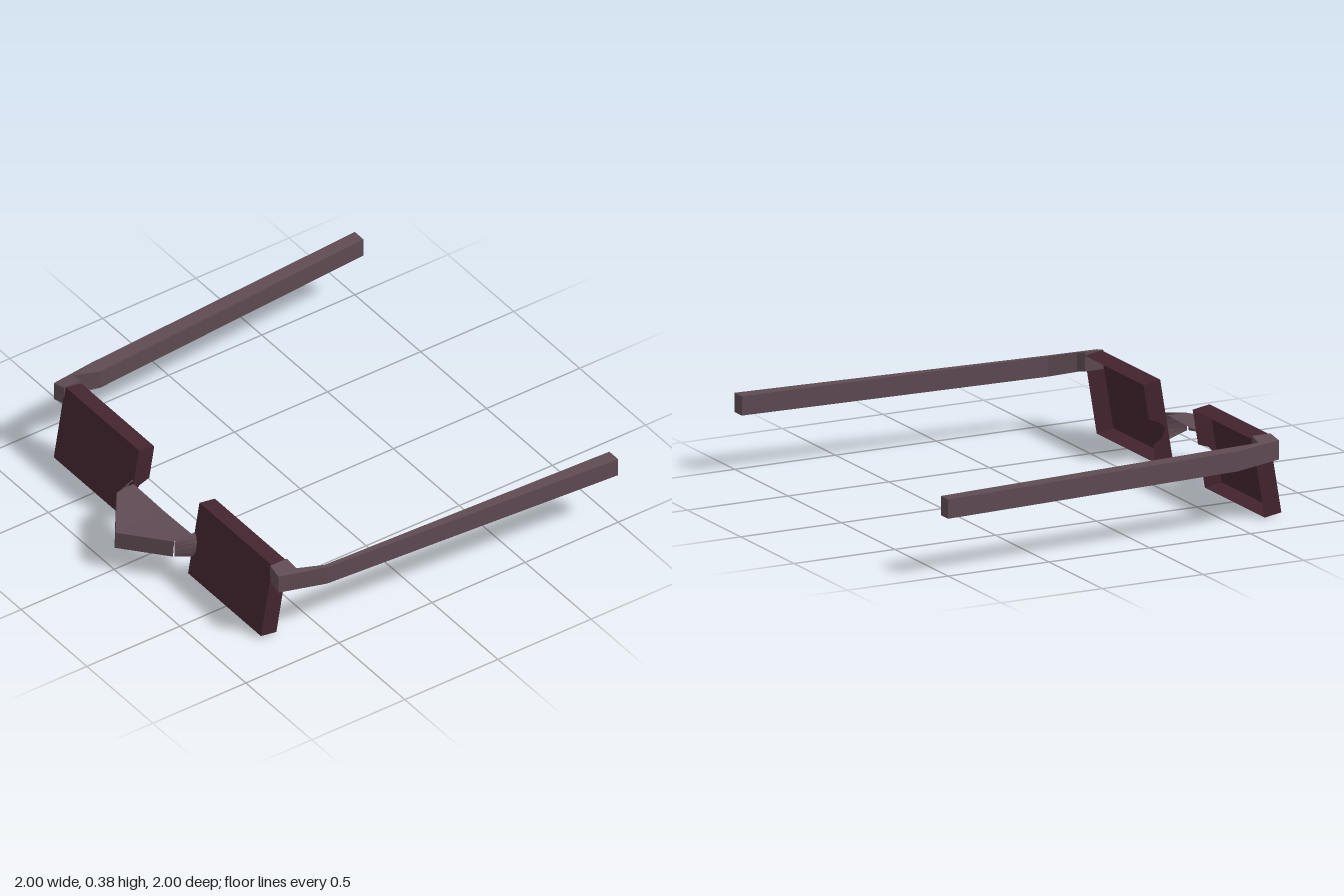
import * as THREE from 'three';

const lensMat = new THREE.MeshStandardMaterial({ color: 0x44242f, side: THREE.DoubleSide });
lensMat.name = 'dark plum';
const frameMat = new THREE.MeshStandardMaterial({ color: 0x5f4b53, side: THREE.DoubleSide });
frameMat.name = 'grey mauve';

// Flat-shaded skin between successive cross-sections, optionally closed and capped
function loft(rings, { closed = false, caps = false, flip = false } = {}) {
  const pos = [];
  const tri = (a, b, c) => pos.push(...a, ...(flip ? c : b), ...(flip ? b : c));
  const n = rings[0].length;
  for (let i = 0; i < rings.length - 1; i++) {
    for (let j = 0; j < (closed ? n : n - 1); j++) {
      const k = (j + 1) % n;
      const [a, b, c, d] = [rings[i][j], rings[i][k], rings[i + 1][k], rings[i + 1][j]];
      tri(a, b, c);
      tri(a, c, d);
    }
  }
  if (caps) {
    const first = rings[0], last = rings[rings.length - 1];
    for (let j = 1; j < n - 1; j++) {
      tri(first[0], first[j + 1], first[j]);
      tri(last[0], last[j], last[j + 1]);
    }
  }
  const geo = new THREE.BufferGeometry();
  geo.setAttribute('position', new THREE.Float32BufferAttribute(pos, 3));
  geo.computeVertexNormals();
  return geo;
}

function add(parent, name, geo, mat) {
  const mesh = new THREE.Mesh(geo, mat);
  mesh.name = name;
  parent.add(mesh);
  return mesh;
}

// Lens: a shallow tilted box, open at the back, with a nose notch in its inner wall
function makeLens(side, inner, outer) {
  const lens = new THREE.Group();
  lens.name = side > 0 ? 'leftLens' : 'rightLens';
  const h = 0.184, d = 0.042, xi = side * inner, xo = side * outer;
  const front = new THREE.PlaneGeometry(outer - inner, 2 * h);
  front.translate((xi + xo) / 2, 0, d);
  add(lens, 'lensFront', front, lensMat);

  const outline = (z) => [[xi, h, z], [xo, h, z], [xo, -h, z], [xi, -h, z]];
  add(lens, 'lensRim', loft([outline(d), outline(-d)], { flip: side > 0 }), lensMat);

  const notched = [[d, h], [-d, h], [-d, 0.02], [0.005, -0.005], [0.03, -0.04],
    [0.005, -0.08], [-d, -0.1], [-d, -h], [d, -h]];
  const wall = new THREE.ShapeGeometry(new THREE.Shape(notched.map(([z, y]) => new THREE.Vector2(-z, y))));
  wall.rotateY(Math.PI / 2);
  wall.translate(xi, 0, 0);
  add(lens, 'innerWall', wall, lensMat);

  lens.position.set(0, 0.193, 0.69);
  lens.rotation.x = -0.166;
  return lens;
}

// Arm: hinge stub leaving the lens, then a long straight bar to the back
function makeArm(side, start, bend, bendInner) {
  // each section: outer x, z; inner x, z; bottom, top
  const sections = [
    [start, 0.71, start, 0.62, 0.295, 0.383],
    [bend, 0.715, bend - 0.005, 0.615, 0.28, 0.368],
    [0.898, 0.49, bendInner, 0.49, 0.264, 0.355],
    [1.0, -1, 0.933, -1, 0.265, 0.353],
  ];
  const rings = sections.map(([xo, zo, xi, zi, y0, y1]) => [
    [side * xo, y1, zo], [side * xo, y0, zo], [side * xi, y0, zi], [side * xi, y1, zi],
  ]);
  return loft(rings, { closed: true, caps: true, flip: side > 0 });
}

// Flare that spreads from the bridge side onto the lens in a half ellipse
function makeFlare(side, x) {
  const near = [], far = [];
  const n = 8;
  for (let i = 0; i <= n; i++) {
    const a = -Math.PI / 2 + (Math.PI * i) / n;
    near.push([side * 0.217, 0.177 + 0.04 * Math.sin(a), 0.83]);
    far.push([side * (x + 0.03 * Math.cos(a)), 0.168 + 0.062 * Math.sin(a), 0.738 - 0.01 * Math.sin(a)]);
  }
  return loft([near, far], { flip: side < 0 });
}

export function createModel() {
  const model = new THREE.Group();
  model.name = 'spectacles';

  model.add(makeLens(1, 0.225, 0.778), makeLens(-1, 0.235, 0.795));
  add(model, 'leftArm', makeArm(1, 0.775, 0.845, 0.878), frameMat);
  add(model, 'rightArm', makeArm(-1, 0.79, 0.86, 0.825), frameMat);

  // Bridge: pointed top plate with a front lip, open below and behind
  const bridge = new THREE.Group();
  bridge.name = 'bridge';
  const back = [[-0.228, 0.217, 0.735], [0, 0.212, 0.735], [0.222, 0.217, 0.735]];
  const edge = [[-0.22, 0.217, 0.83], [0, 0.203, 0.992], [0.215, 0.217, 0.83]];
  const lip = edge.map(([x, y, z]) => [x, y - 0.08, z + 0.006]);
  add(bridge, 'bridgeTop', loft([edge, back]), frameMat);
  add(bridge, 'bridgeLip', loft([lip, edge]), frameMat);
  add(bridge, 'leftFlare', makeFlare(1, 0.225), frameMat);
  add(bridge, 'rightFlare', makeFlare(-1, 0.235), frameMat);
  model.add(bridge);

  return model;
}
